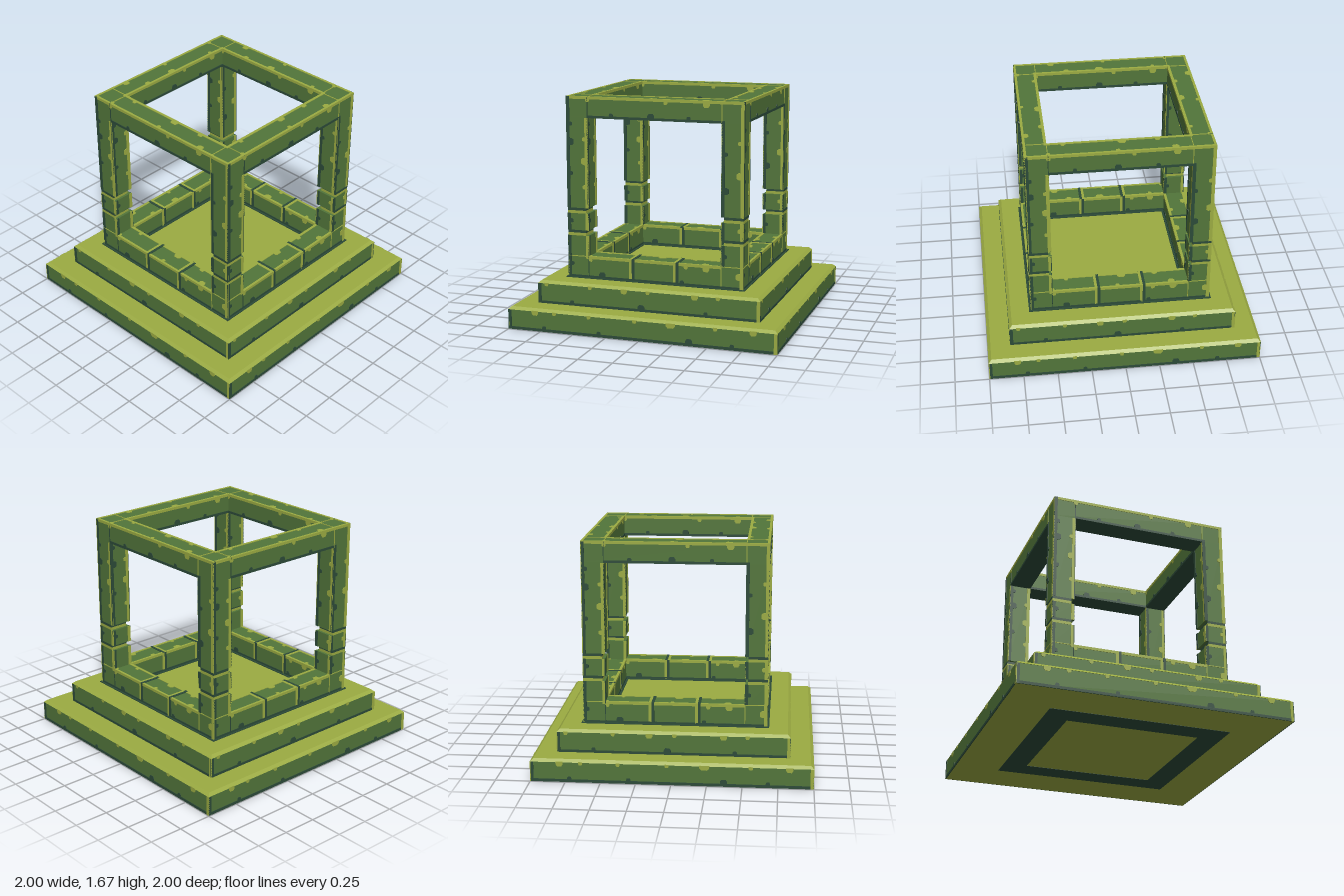
import * as THREE from 'three';

const mat = (name, color) => Object.assign(new THREE.MeshStandardMaterial({ color }), { name });

export function createModel() {
  const root = new THREE.Group();
  root.name = 'stoneCubeFrame';
  const lime = mat('lime moss', 0x9bab42);
  const mid = mat('mid green stone', 0x52753a);
  const dark = mat('dark green shade', 0x2c4a38);
  const T = 0.004; // how far painted trim stands off the core

  const add = (parent, name, geo, m) => {
    const mesh = new THREE.Mesh(geo, m);
    mesh.name = name;
    parent.add(mesh);
    return mesh;
  };
  const box = (parent, name, m, x0, x1, y0, y1, z0, z1) => {
    const b = add(parent, name, new THREE.BoxGeometry(x1 - x0, y1 - y0, z1 - z0), m);
    b.position.set((x0 + x1) / 2, (y0 + y1) / 2, (z0 + z1) / 2);
    return b;
  };
  // A face is a group whose local z points out of the painted surface
  const face = (parent, name, rx, ry) => {
    const g = new THREE.Group();
    g.name = name;
    g.rotation.set(rx, ry, 0);
    parent.add(g);
    return g;
  };
  const strip = (f, name, m, d, u0, u1, v0, v1) => box(f, name, m, u0, u1, v0, v1, d - 0.006, d);
  // Chipped tab growing from a trim edge at (u, v) towards angle a
  const chip = (f, m, d, u, v, w, a) => {
    const h = w > 0.04 ? 0.03 : 0.02, s = w / 2;
    const shape = new THREE.Shape([
      new THREE.Vector2(-s, -0.004), new THREE.Vector2(s, -0.004), new THREE.Vector2(s, h * 0.5),
      new THREE.Vector2(s * 0.6, h), new THREE.Vector2(-s * 0.6, h), new THREE.Vector2(-s, h * 0.5),
    ]);
    const c = add(f, 'edgeChip', new THREE.ExtrudeGeometry(shape, { depth: 0.006, bevelEnabled: false }), m);
    c.position.set(u, v, d - 0.006);
    c.rotation.z = a;
  };
  const UP = 0, DOWN = Math.PI, LEFT = Math.PI / 2, RIGHT = -Math.PI / 2;
  const chipsH = (f, m, d, v, a, list) => list.forEach(([u, w]) => chip(f, m, d, u, v, w, a));
  const chipsV = (f, m, d, u, a, list) => list.forEach(([v, w]) => chip(f, m, d, u, v, w, a));

  // Two stepped slabs with bevelled mossy tops
  const slabs = [
    { name: 'lowerStep', h: 1, y0: 0.002, y1: 0.167,
      top: [[-0.79, 0.05], [-0.64, 0.03], [-0.375, 0.03], [-0.03, 0.03], [0.235, 0.07], [0.56, 0.03], [0.83, 0.05]],
      low: [[-0.72, 0.03], [-0.3, 0.03], [0.37, 0.05], [0.68, 0.03]] },
    { name: 'upperStep', h: 0.835, y0: 0.165, y1: 0.335,
      top: [[-0.77, 0.03], [-0.43, 0.03], [-0.17, 0.05], [0.01, 0.03], [0.36, 0.05], [0.53, 0.03]],
      low: [[-0.57, 0.03], [-0.04, 0.05], [0.44, 0.03]] },
  ];
  for (const { name, h, y0, y1 } of slabs) {
    const c = h - T, yb = y1 - 0.02;
    box(root, name, [mid, mid, lime, lime, mid, mid], -c, c, y0, yb, -c, c);
    const bevel = add(root, name + 'Top',
      new THREE.CylinderGeometry((h - 0.022) * Math.SQRT2, h * Math.SQRT2, 0.02, 4).toNonIndexed(), lime);
    bevel.geometry.computeVertexNormals();
    bevel.rotation.y = Math.PI / 4;
    bevel.position.y = yb + 0.01;
  }

  // Trim of one frame wall: used for its outer and its inner plane
  const segments = [[0.335, 0.65], [0.69, 0.815], [0.855, 1.67]];
  const frameFace = (f, d) => {
    strip(f, 'topEdge', lime, d, -0.64, 0.665, 1.65, 1.67);
    strip(f, 'bottomEdge', dark, d, -0.64, 0.64, 0.335, 0.355);
    strip(f, 'sillEdge', lime, d, -0.505, 0.505, 0.48, 0.5);
    strip(f, 'lintelEdge', dark, d, -0.505, 0.525, 1.515, 1.533);
    for (const [a, b] of segments) {
      const i0 = Math.max(a, 0.48), i1 = Math.min(b, 1.515);
      strip(f, 'leftOuterEdge', dark, d, -0.665, -0.64, a, b);
      strip(f, 'rightOuterEdge', lime, d, 0.64, 0.665, a, Math.min(b, 1.65));
      strip(f, 'leftInnerEdge', lime, d, -0.525, -0.5, i0, i1);
      strip(f, 'rightInnerEdge', dark, d, 0.5, 0.525, Math.max(a, 0.5), i1);
    }
    for (const x of [-0.17, 0.165]) {
      strip(f, 'sillCrackLight', lime, d, x - 0.02, x, 0.335, 0.5);
      strip(f, 'sillCrackDark', dark, d + 0.0005, x, x + 0.02, 0.335, 0.5);
    }
    chipsH(f, lime, d, 1.65, DOWN, [[-0.5, 0.03], [0.09, 0.03], [0.39, 0.05]]);
    chipsH(f, dark, d, 1.533, UP, [[-0.32, 0.03], [-0.02, 0.05], [0.26, 0.03]]);
    chipsH(f, lime, d, 0.48, DOWN, [[-0.49, 0.03], [0.24, 0.03], [0.39, 0.05]]);
    chipsH(f, dark, d, 0.355, UP, [[-0.4, 0.05], [0.21, 0.03]]);
    chipsV(f, dark, d, -0.64, RIGHT, [[1.47, 0.03], [1.34, 0.05], [1.11, 0.03], [0.76, 0.03], [0.44, 0.03]]);
    chipsV(f, lime, d, 0.64, LEFT, [[1.38, 0.03], [1.15, 0.05], [0.76, 0.03], [0.43, 0.05]]);
    chipsV(f, lime, d, -0.525, LEFT, [[1.36, 0.03], [1.2, 0.05], [1.01, 0.03]]);
    chipsV(f, dark, d, 0.525, RIGHT, [[1.3, 0.03], [1.04, 0.05], [0.57, 0.03]]);
  };

  // Mossy rims on the upward face of a beam
  const topFace = (f, d, cracked) => {
    strip(f, 'outerRim', lime, d, -0.665, 0.665, -0.665, -0.647);
    strip(f, 'innerRim', lime, d, -0.52, 0.52, -0.52, -0.5);
    chipsH(f, lime, d, -0.647, UP, [[-0.5, 0.03], [-0.02, 0.03], [0.38, 0.05]]);
    chipsH(f, lime, d, -0.52, DOWN, [[-0.39, 0.03], [0.02, 0.06], [0.27, 0.04]]);
    if (cracked) for (const x of [-0.17, 0.165]) {
      strip(f, 'crackLight', lime, d, x - 0.02, x, -0.665, -0.5);
      strip(f, 'crackDark', dark, d + 0.0005, x, x + 0.02, -0.665, -0.5);
    }
  };

  // Four identical sides turned about the vertical axis
  const o = 0.665 - T, n = 0.5 + T;
  for (let i = 0; i < 4; i++) {
    const side = face(root, 'side' + (i + 1), 0, i * Math.PI / 2);

    // Step trim
    for (const { h, y0, y1, top, low } of slabs) {
      const f = face(side, 'stepTrim', 0, 0), yb = y1 - 0.02;
      strip(f, 'leftEdge', dark, h, -h, -h + 0.025, y0, yb);
      strip(f, 'rightEdge', lime, h, h - 0.025, h, y0, yb);
      strip(f, 'bottomEdge', dark, h, -h + 0.025, h - 0.025, y0, y0 + 0.02);
      chipsH(f, lime, h, yb, DOWN, top);
      chipsH(f, dark, h, y0 + 0.02, UP, low);
    }

    // Sill, top beam and footing
    const beamMats = [mid, mid, mid, dark, mid, mid];
    box(side, 'sill', beamMats, -o, n, 0.33, 0.496, n, o);
    box(side, 'topBeam', beamMats, -o, n, 1.515, 1.666, n, o);
    box(side, 'footing', dark, -0.678, 0.678, 0.33, 0.341, 0.485, 0.678);
    box(side, 'undersideRing', dark, -0.665, 0.49, 0, 0.004, 0.49, 0.665);

    // Corner post in blocks, with cracks notched into the inner edges
    for (const [a, b] of [[0.49, 0.65], [0.69, 0.815], [0.855, 1.52]]) {
      box(side, 'postBlock', mid, n, o, a, b, n, o);
    }
    for (const y of [0.65, 0.815]) {
      box(side, 'postCrackLight', lime, 0.523, 0.663, y, y + 0.021, 0.523, 0.663);
      box(side, 'postCrackDark', dark, 0.523, 0.663, y + 0.021, y + 0.04, 0.523, 0.663);
    }

    // Trim
    frameFace(face(side, 'outerTrim', 0, 0), 0.665);
    frameFace(face(side, 'innerTrim', 0, Math.PI), -0.5);
    topFace(face(side, 'sillTopTrim', -Math.PI / 2, 0), 0.5, true);
    topFace(face(side, 'beamTopTrim', -Math.PI / 2, 0), 1.67, false);
  }
  return root;
}
